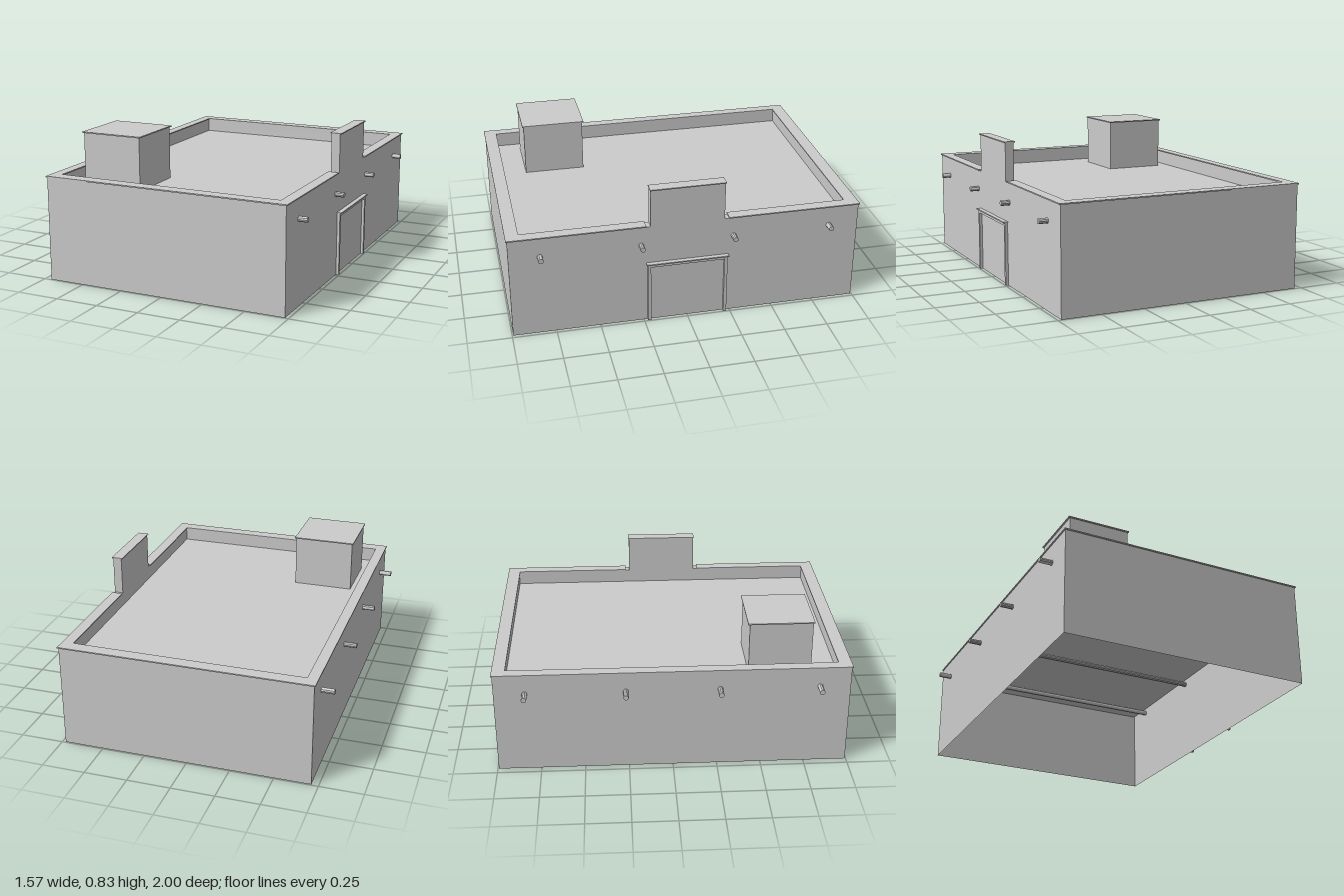
import * as THREE from 'three';

const material = new THREE.MeshStandardMaterial({ color: 0xcccccc, flatShading: true, side: THREE.DoubleSide });

function add(group, name, geometry) {
  const mesh = new THREE.Mesh(geometry, material);
  mesh.name = name;
  group.add(mesh);
  return mesh;
}

// box given by its limits on each axis
function block(group, name, [x0, x1], [y0, y1], [z0, z1]) {
  const mesh = add(group, name, new THREE.BoxGeometry(x1 - x0, y1 - y0, z1 - z0));
  mesh.position.set((x0 + x1) / 2, (y0 + y1) / 2, (z0 + z1) / 2);
  return mesh;
}

// four upright sheets around a rectangle, facing outward or inward
function sheetRing(group, name, [x0, x1], [y0, y1], [z0, z1], inward = false) {
  const cx = (x0 + x1) / 2, cz = (z0 + z1) / 2, w = x1 - x0, d = z1 - z0;
  const sides = [[w, cx, z1, 0], [d, x1, cz, 1], [w, cx, z0, 2], [d, x0, cz, 3]];
  for (const [length, x, z, turn] of sides) {
    const mesh = add(group, name, new THREE.PlaneGeometry(length, y1 - y0));
    mesh.position.set(x, (y0 + y1) / 2, z);
    mesh.rotation.y = turn * Math.PI / 2 + (inward ? Math.PI : 0);
  }
}

export function createModel() {
  const model = new THREE.Group();
  model.name = 'flatRoofHouse';
  const X = [-0.709, 0.73], Z = [-0.994, 0.994];
  const roofY = 0.52, wallTop = 0.6, gap = 0.235;

  // Open-bottomed walls, roof deck and inner parapet faces
  sheetRing(model, 'wall', X, [0, wallTop], Z);
  const roof = add(model, 'roofDeck', new THREE.PlaneGeometry(X[1] - X[0], Z[1] - Z[0]));
  roof.rotation.x = -Math.PI / 2;
  roof.position.set((X[0] + X[1]) / 2, roofY, 0);
  sheetRing(model, 'parapetInnerFace', [-0.66, 0.679], [roofY, wallTop], [-0.932, 0.932], true);

  // Parapet coping, a thin C-shaped slab interrupted above the door
  const coping = new THREE.Shape([
    [0.737, gap], [0.737, 1], [-0.715, 1], [-0.715, -1], [0.737, -1], [0.737, -gap],
    [0.673, -gap], [0.673, -0.926], [-0.654, -0.926], [-0.654, 0.926], [0.673, 0.926], [0.673, gap],
  ].map(([x, z]) => new THREE.Vector2(x, z)));
  const slab = new THREE.ExtrudeGeometry(coping, { depth: 0.007, bevelEnabled: false });
  slab.rotateX(-Math.PI / 2);
  add(model, 'parapetCoping', slab).position.y = wallTop;

  // Raised parapet above the door
  block(model, 'parapetGapTop', [0.679, 0.73], [wallTop - 0.004, wallTop], [-gap, gap]);
  block(model, 'raisedParapet', [0.679, 0.73], [wallTop, 0.821], [-0.21, 0.21]);
  block(model, 'raisedParapetCap', [0.672, 0.738], [0.821, 0.827], [-0.213, 0.213]);

  // Roof access hut
  block(model, 'roofHut', [-0.592, -0.237], [roofY, 0.823], [0.43, 0.785]);
  block(model, 'roofHutCap', [-0.6, -0.23], [0.823, 0.83], [0.42, 0.792]);

  // Door surround
  for (const side of [-1, 1]) {
    const z = [side * 0.211, side * 0.229].sort((a, b) => a - b);
    block(model, 'doorPost', [0.73, 0.746], [0, 0.366], z);
  }
  block(model, 'doorHead', [0.73, 0.746], [0.348, 0.366], [-0.211, 0.211]);
  block(model, 'doorLintelCap', [0.73, 0.757], [0.366, 0.373], [-0.235, 0.235]);

  // Round roof beams running through both side walls
  for (const z of [-0.822, -0.263, 0.263, 0.822]) {
    const beam = add(model, 'roofBeam', new THREE.CylinderGeometry(0.015, 0.015, 1.565, 10));
    beam.rotation.z = Math.PI / 2;
    beam.position.set(0, 0.488, z);
  }
  return model;
}
